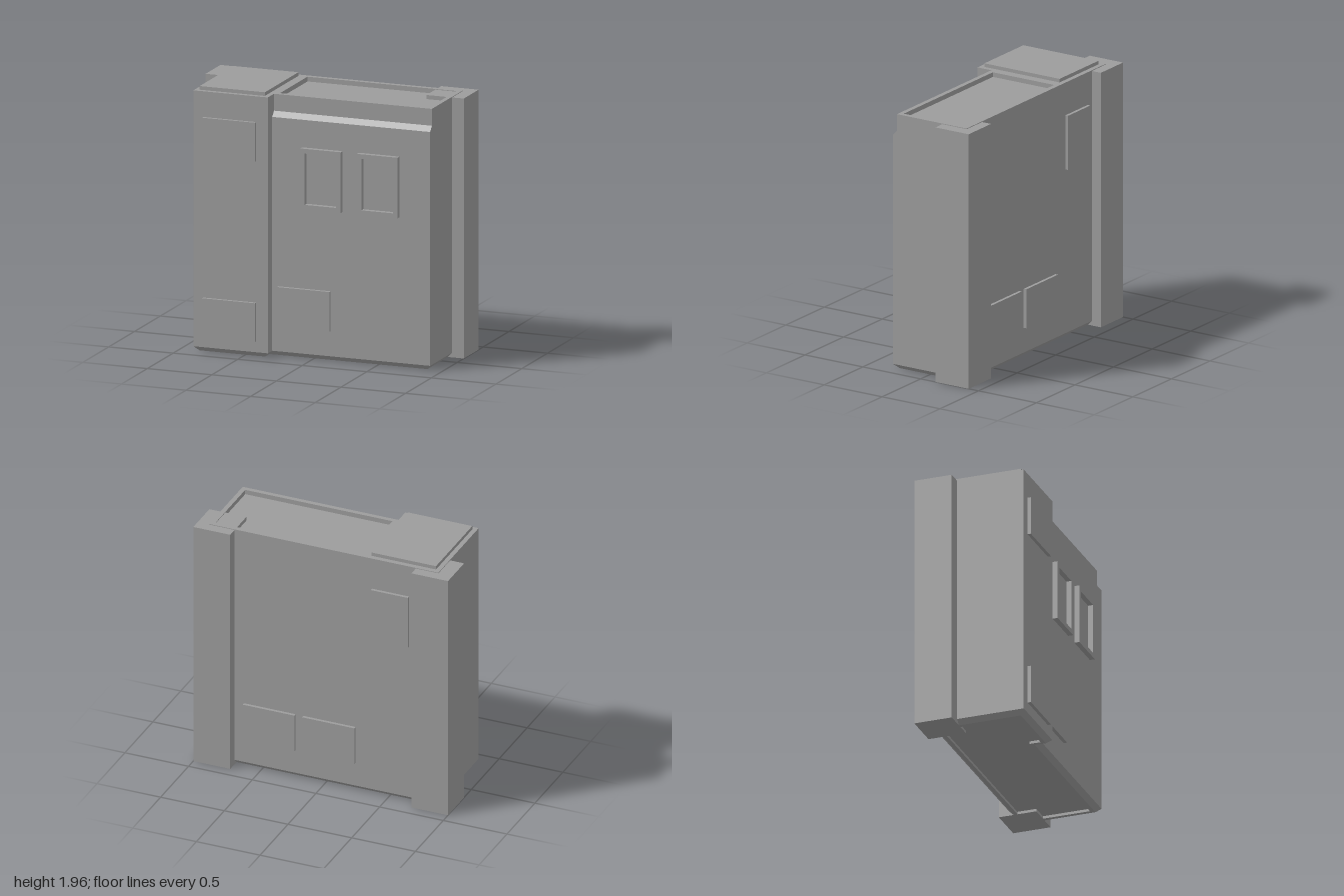
import * as THREE from 'three';

const material = new THREE.MeshStandardMaterial({ color: 0x9c9c9c, flatShading: true, side: THREE.DoubleSide });

// Box given by its min and max on each axis
function box(name, x0, x1, y0, y1, z0, z1) {
  const mesh = new THREE.Mesh(new THREE.BoxGeometry(x1 - x0, y1 - y0, z1 - z0), material);
  mesh.position.set((x0 + x1) / 2, (y0 + y1) / 2, (z0 + z1) / 2);
  mesh.name = name;
  return mesh;
}

const rect = (x0, x1, y0, y1) =>
  [[x0, y0], [x1, y0], [x1, y1], [x0, y1]].map(([x, y]) => new THREE.Vector2(x, y));

// Outline extruded along z with one hole
function framed(outer, hole, depth) {
  const shape = new THREE.Shape(outer);
  shape.holes.push(new THREE.Path(hole));
  return new THREE.ExtrudeGeometry(shape, { depth, bevelEnabled: false });
}

// L-shaped plan in (x, z), inset by d; zr is the front of the wide wing
const plan = (d, zr) => [
  [-0.89 + d, -0.337 + d], [0.91 - d, -0.337 + d], [0.91 - d, zr - d],
  [-0.313 - d, zr - d], [-0.313 - d, 0.385 - d], [-0.89 + d, 0.385 - d],
];

// Closed solid lofted through plan rings [inset, y, wing front]
function loft(rings) {
  const pos = [], idx = [], n = 6;
  for (const [d, y, zr] of rings) for (const [x, z] of plan(d, zr)) pos.push(x, y, z);
  for (let r = 0; r < rings.length - 1; r++) {
    for (let i = 0; i < n; i++) {
      const j = (i + 1) % n, a = r * n, b = a + n;
      idx.push(a + i, b + i, b + j, a + i, b + j, a + j);
    }
  }
  // Caps fan out from the inner corner of the L
  const top = (rings.length - 1) * n;
  for (const [p, q] of [[4, 5], [5, 0], [0, 1], [1, 2]]) {
    idx.push(3, p, q, top + 3, top + q, top + p);
  }
  const g = new THREE.BufferGeometry();
  g.setAttribute('position', new THREE.Float32BufferAttribute(pos, 3));
  g.setIndex(idx);
  const flat = g.toNonIndexed();
  flat.computeVertexNormals();
  return flat;
}

export function createModel() {
  const model = new THREE.Group();
  model.name = 'building';

  // Main block: recessed underside, bevelled foot, set-back below the parapet
  const body = new THREE.Mesh(loft([
    [0.065, 0.02, 0.3], [0.065, 0, 0.3], [0.035, 0, 0.3], [0, 0.035, 0.3],
    [0, 1.767, 0.3], [0, 1.805, 0.265], [0, 1.895, 0.265],
  ]), material);
  body.name = 'mainBlock';
  model.add(body);

  // Parapet around the sunken roof
  const outline = plan(0, 0.265).map(([x, z]) => new THREE.Vector2(x, -z));
  const parapet = new THREE.Mesh(framed(outline, rect(-0.28, 0.875, -0.23, 0.3), 0.035), material);
  parapet.rotation.x = -Math.PI / 2;
  parapet.position.y = 1.895;
  parapet.name = 'parapet';
  model.add(parapet);

  // Raised slab on the tower roof
  model.add(box('towerRoofSlab', -0.855, -0.35, 1.93, 1.957, -0.3, 0.35));

  // Rear corner pillars
  model.add(box('leftPillar', 0.71, 1, 0, 1.925, -0.415, -0.127));
  model.add(box('rightPillar', -1, -0.713, 0, 1.925, -0.415, -0.127));

  // Flat wall panels
  model.add(
    box('towerUpperPanel', -0.812, -0.403, 1.45, 1.74, 0.38, 0.41),
    box('towerLowerPanel', -0.812, -0.403, 0.115, 0.403, 0.38, 0.41),
    box('frontPanel', -0.267, 0.14, 0.222, 0.517, 0.29, 0.327),
    box('backLeftPanel', 0.23, 0.637, 0.222, 0.517, -0.36, -0.33),
    box('backMiddlePanel', -0.24, 0.17, 0.222, 0.517, -0.36, -0.33),
    box('backUpperPanel', -0.66, -0.37, 1.273, 1.683, -0.36, -0.33),
  );

  // Window frames on the wide wing
  for (const x of [0.076, 0.515]) {
    const frame = new THREE.Mesh(
      framed(rect(-0.157, 0.157, 1.113, 1.563), rect(-0.122, 0.122, 1.148, 1.528), 0.038), material);
    frame.position.set(x, 0, 0.3);
    frame.name = 'windowFrame';
    model.add(frame);
  }

  return model;
}
